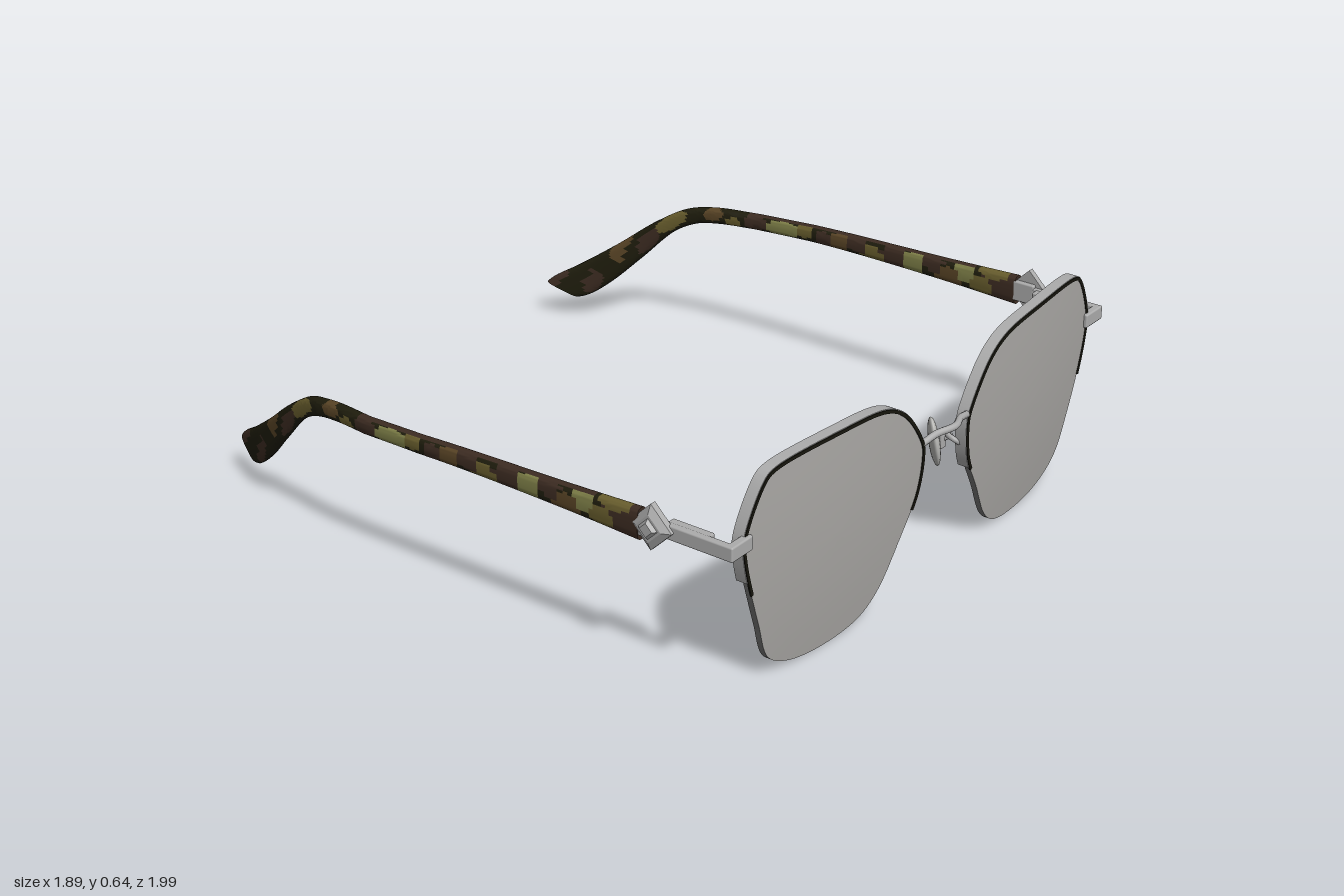
import * as THREE from 'three';
import { toCreasedNormals } from 'three/addons/utils/BufferGeometryUtils.js';
import { RoundedBoxGeometry } from 'three/addons/geometries/RoundedBoxGeometry.js';

const V = (x, y, z) => new THREE.Vector3(x, y, z);
const mat = (name, color) => Object.assign(new THREE.MeshStandardMaterial({ color }), { name });

// Closed solid through rings of points; pick(u, v) sorts faces into material groups
function loft(rings, crease = 0.6, pick = () => 0) {
  const n = rings[0].length, m = rings.length, pts = rings.flat(), buckets = [];
  const mean = r => r.reduce((a, p) => a.add(p), V(0, 0, 0)).divideScalar(n);
  pts.push(mean(rings[0]), mean(rings[m - 1]));
  const add = (g, ...f) => (buckets[g] ??= []).push(...f);
  for (let j = 0; j < n; j++) {
    const k = (j + 1) % n, e = (m - 1) * n;
    add(pick(0, j), m * n, k, j);
    for (let i = 0; i < m - 1; i++) {
      const a = i * n + j, b = i * n + k;
      add(pick(i, j), a, b, b + n, a, b + n, a + n);
    }
    add(pick(m - 1, j), m * n + 1, e + j, e + k);
  }
  const index = buckets.flat().filter(i => i !== undefined);
  // Turn the faces outward
  let vol = 0;
  for (let i = 0; i < index.length; i += 3)
    vol += pts[index[i]].dot(V(0, 0, 0).crossVectors(pts[index[i + 1]], pts[index[i + 2]]));
  if (vol < 0) for (let i = 0; i < index.length; i += 3) [index[i], index[i + 1]] = [index[i + 1], index[i]];
  const geo = new THREE.BufferGeometry().setFromPoints(pts);
  geo.setIndex(index);
  let start = 0;
  buckets.forEach((b, g) => { geo.addGroup(start, b.length, g); start += b.length; });
  return toCreasedNormals(geo, crease);
}

// Mirror image across x = 0 with the face order swapped
function mirrored(geo) {
  const g = geo.index ? geo.toNonIndexed() : geo.clone();
  g.scale(-1, 1, 1);
  for (const a of Object.values(g.attributes)) {
    const s = a.itemSize;
    for (let i = 0; i < a.count; i += 3)
      for (let c = 0; c < s; c++) {
        const p = (i + 1) * s + c, q = p + s;
        [a.array[p], a.array[q]] = [a.array[q], a.array[p]];
      }
  }
  return g;
}

export function createModel() {
  const model = new THREE.Group();
  model.name = 'sunglasses';
  const lensGrey = mat('lens grey', 0xaaa8a5), metal = mat('silver metal', 0xacacac);
  const edgeGrey = mat('lens edge grey', 0x747474), black = mat('rim black', 0x17160e);
  const pad = mat('nose pad grey', 0xb8b8b5);
  const camo = [mat('dark olive', 0x1f1d0d), mat('dark brown', 0x3d2c22), mat('tan brown', 0x5a4526),
    mat('olive', 0x6a5f2e), mat('light olive', 0x7f8048)];

  const one = (name, geo, m) => {
    const mesh = new THREE.Mesh(geo, m);
    mesh.name = name;
    model.add(mesh);
  };
  const pair = (name, geo, m) => {
    one(name + 'Left', geo, m);
    one(name + 'Right', mirrored(geo), m);
  };
  const box = (w, h, d, x, y, z, r = 0.005) => new RoundedBoxGeometry(w, h, d, 2, r).translate(x, y, z);

  // Lens outline from bottom, up the nose side, over the top and down the outside
  const outline = new THREE.CatmullRomCurve3([
    [0.485, 0.004], [0.343, 0.022], [0.273, 0.07], [0.192, 0.2], [0.126, 0.318], [0.111, 0.434],
    [0.126, 0.475], [0.207, 0.576], [0.293, 0.621], [0.495, 0.637], [0.737, 0.626], [0.773, 0.606],
    [0.843, 0.47], [0.838, 0.394], [0.773, 0.19], [0.722, 0.07], [0.636, 0.022],
  ].map(([x, y]) => V(x, y, 0)), true);
  const frontZ = (x, y) => 0.965 - 0.115 * (x - 0.15) ** 2 - 0.14 * (y - 0.5) ** 2;
  const edge = outline.getPoints(136).slice(0, 136);
  const ring = (s, dz) => edge.map(p => {
    const x = 0.485 + (p.x - 0.485) * s, y = 0.34 + (p.y - 0.34) * s;
    return V(x, y, frontZ(x, y) + dz);
  });
  const lensRings = [0.05, 0.3, 0.55, 0.8, 1].map(s => ring(s, 0));
  lensRings.push(...[1, 0.8, 0.55, 0.3, 0.05].map(s => ring(s, -0.018)));
  pair('lens', loft(lensRings, 0.6, i => (i === 4 ? 1 : 0)), [lensGrey, edgeGrey]);

  // Half rim over the upper lens edge: silver band and thin black front line
  const rimSweep = (t0, t1, o0, o1, z0, z1) => {
    const rings = [];
    for (let i = 0; i <= 90; i++) {
      const t = (t0 + (t1 - t0) * i / 90) / 17, p = outline.getPoint(t), d = outline.getTangent(t);
      rings.push([[o0, z0], [o1, z0], [o1, z1], [o0, z1]].map(([o, z]) =>
        V(p.x - d.y * o, p.y + d.x * o, frontZ(p.x, p.y) + z)));
    }
    return loft(rings);
  };
  pair('rim', rimSweep(3.7, 13.3, -0.006, 0.006, -0.034, 0), metal);
  pair('rimLine', rimSweep(3.6, 13.5, -0.006, 0.004, -0.002, 0.003), black);

  // Bridge
  const bridge = new THREE.CatmullRomCurve3([[-0.125, 0.448, 0.952], [-0.105, 0.455, 0.96], [-0.06, 0.466, 0.97],
    [0, 0.471, 0.99], [0.06, 0.466, 0.97], [0.105, 0.455, 0.96], [0.125, 0.448, 0.952]].map(p => V(...p)));
  one('bridge', new THREE.TubeGeometry(bridge, 40, 0.01, 10), metal);

  // Nose pads with their wire arms
  pair('nosePad', new THREE.SphereGeometry(1, 28, 18).scale(0.043, 0.08, 0.015)
    .rotateY(0.75).rotateZ(0.25).translate(0.112, 0.34, 0.86), pad);
  const arm = new THREE.CatmullRomCurve3([[0.128, 0.35, 0.945], [0.105, 0.37, 0.928], [0.108, 0.375, 0.905],
    [0.135, 0.36, 0.895], [0.122, 0.345, 0.872]].map(p => V(...p)));
  pair('padArm', new THREE.TubeGeometry(arm, 24, 0.008, 8), metal);
  pair('padHolder', box(0.024, 0.045, 0.022, 0.122, 0.345, 0.875), metal);

  // End pieces, hinges and diamond ornaments
  pair('endPiece', box(0.09, 0.042, 0.024, 0.869, 0.458, 0.911).rotateY(0), metal);
  pair('endBar', box(0.022, 0.042, 0.26, 0.903, 0.458, 0.793), metal);
  pair('hingeBlock', box(0.026, 0.045, 0.13, 0.884, 0.455, 0.775), metal);
  pair('hingeKnuckle', box(0.034, 0.062, 0.07, 0.908, 0.457, 0.668), metal);
  const diamond = (name, r0, r1, h, x) => pair(name, toCreasedNormals(
    new THREE.CylinderGeometry(r1, r0, h, 4).rotateZ(-Math.PI / 2).translate(x, 0.462, 0.678), 0.3), metal);
  diamond('diamondBase', 0.066, 0.066, 0.018, 0.914);
  diamond('diamondBevel', 0.066, 0.04, 0.012, 0.929);
  diamond('diamondStud', 0.032, 0.02, 0.012, 0.939);

  // Temples: [z, y] of the upper and lower edges, and [z, x] of the inward bend
  const curve = pts => new THREE.CatmullRomCurve3(pts.map(([z, y]) => V(0, y, z)));
  const top = curve([[0.64, 0.5], [0.4, 0.49], [0, 0.478], [-0.3, 0.463], [-0.45, 0.455], [-0.55, 0.433],
    [-0.65, 0.375], [-0.78, 0.275], [-0.9, 0.19], [-0.975, 0.142], [-0.998, 0.12]]);
  const low = curve([[0.64, 0.41], [0.4, 0.42], [0, 0.425], [-0.3, 0.415], [-0.43, 0.408], [-0.51, 0.393],
    [-0.59, 0.35], [-0.7, 0.24], [-0.8, 0.14], [-0.87, 0.087], [-0.905, 0.075]]);
  const bend = [[0.64, 0.91], [-0.1, 0.91], [-0.3, 0.9], [-0.5, 0.87], [-0.7, 0.82], [-0.85, 0.765], [-1, 0.698]];
  const bendX = z => {
    let i = 0;
    while (i < bend.length - 2 && z < bend[i + 1][0]) i++;
    const [a, b] = [bend[i], bend[i + 1]];
    return a[1] + (b[1] - a[1]) * (z - a[0]) / (b[0] - a[0]);
  };
  const N = 180, M = 28, rings = [];
  for (let i = 0; i <= N; i++) {
    const a = top.getPoint(i / N), b = low.getPoint(i / N);
    const end = i > N - 3 ? 1 - 0.12 * (i - N + 3) : 1;
    rings.push(Array.from({ length: M }, (_, j) => {
      const t = j / M * Math.PI * 2, c = Math.cos(t), s = Math.sin(t);
      const round = v => Math.sign(v) * Math.abs(v) ** 0.6;
      const p = a.clone().lerp(b, 0.5 - 0.5 * round(c) * end);
      p.x = bendX(p.z) + round(s) * 0.019 * end;
      return p;
    }));
  }
  // Camouflage patches: [z, height -1..1, half length, half height, colour]
  const patches = [
    [0.6, 0, 0.07, 1.3, 1], [0.57, 0.9, 0.05, 0.7, 3], [0.53, -0.3, 0.04, 0.6, 3], [0.47, 0.5, 0.035, 0.8, 4],
    [0.41, -0.5, 0.05, 0.8, 2], [0.36, 0.5, 0.04, 0.7, 1], [0.3, 0, 0.035, 1.2, 4], [0.22, 0, 0.045, 1.2, 1],
    [0.15, -0.4, 0.04, 0.8, 3], [0.09, 0.4, 0.04, 0.8, 1], [0.02, 0, 0.03, 1.2, 2], [-0.04, -0.2, 0.03, 0.9, 1],
    [-0.11, 0.3, 0.03, 0.7, 3], [-0.19, 0, 0.06, 0.9, 4], [-0.29, 0.2, 0.04, 1.1, 1], [-0.37, -0.4, 0.03, 0.6, 3],
    [-0.44, 0.4, 0.035, 0.7, 2], [-0.58, 0.3, 0.05, 0.8, 3], [-0.66, -0.3, 0.04, 0.6, 1],
    [-0.75, 0.6, 0.035, 0.7, 2], [-0.84, -0.4, 0.03, 0.5, 1], [-0.97, 0.7, 0.05, 0.5, 1],
  ];
  const pick = (i, j) => {
    const p = rings[i][j], h = Math.cos((j + 0.5) / M * Math.PI * 2);
    if (Math.abs(h) > 0.93 && p.z < 0.51 && p.z > -0.3) return 1;
    let colour = 0;
    for (const [z, v, rz, rv, c] of patches) {
      const wob = 0.15 * Math.sin(p.z * 90 + h * 5);
      if (((p.z - z) / rz) ** 2 + ((h - v) / rv) ** 2 < 1 + wob) colour = c;
    }
    return colour;
  };
  pair('temple', loft(rings, 0.9, pick), camo);
  return model;
}
